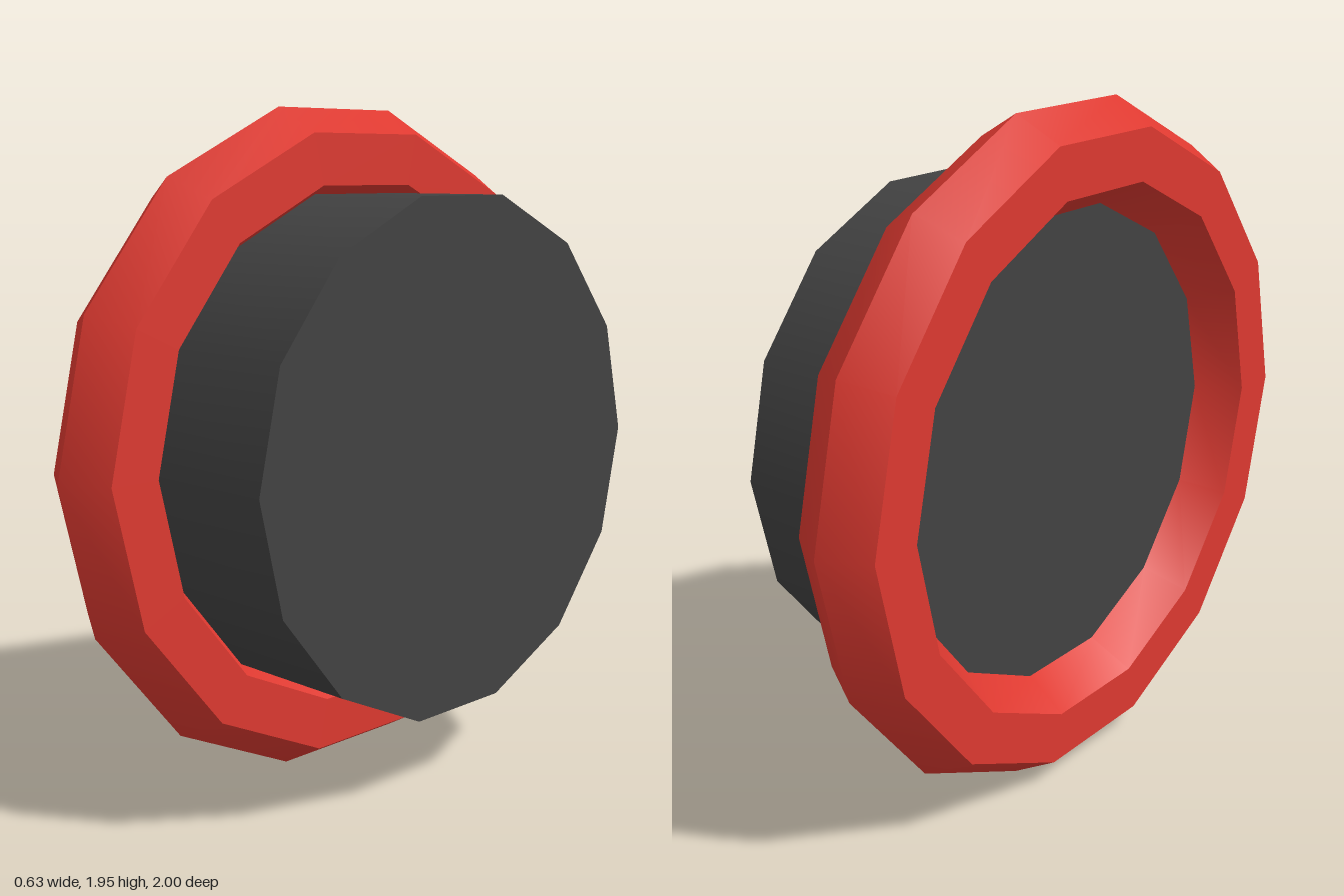
import * as THREE from 'three';
import { toCreasedNormals } from 'three/addons/utils/BufferGeometryUtils.js';

const SIDES = 14;
const RING_X = -0.185;
const CENTRE_Y = Math.cos(Math.PI / SIDES); // flat side rests on the ground

export function createModel() {
  const red = new THREE.MeshStandardMaterial({ color: 0xdd3930 });
  red.name = 'red';
  const charcoal = new THREE.MeshStandardMaterial({ color: 0x424242 });
  charcoal.name = 'charcoal';

  const model = new THREE.Group();
  model.name = 'ringedDrum';

  // Rim: hexagonal section swept round, smooth around but creased along its edges
  const rimGeometry = new THREE.TorusGeometry(0.85, 0.15, 6, SIDES).rotateY(Math.PI / 2);
  const rim = new THREE.Mesh(toCreasedNormals(rimGeometry, 0.7), red);
  rim.name = 'rim';
  rim.position.set(RING_X, CENTRE_Y, 0);
  model.add(rim);

  // Drum: starts at the middle of the rim and sticks out towards +x
  const length = 0.5;
  const drumGeometry = new THREE.CylinderGeometry(0.75, 0.75, length, SIDES).rotateZ(Math.PI / 2);
  const drum = new THREE.Mesh(drumGeometry, charcoal);
  drum.name = 'drum';
  drum.position.set(RING_X + length / 2, CENTRE_Y, 0);
  model.add(drum);

  return model;
}
